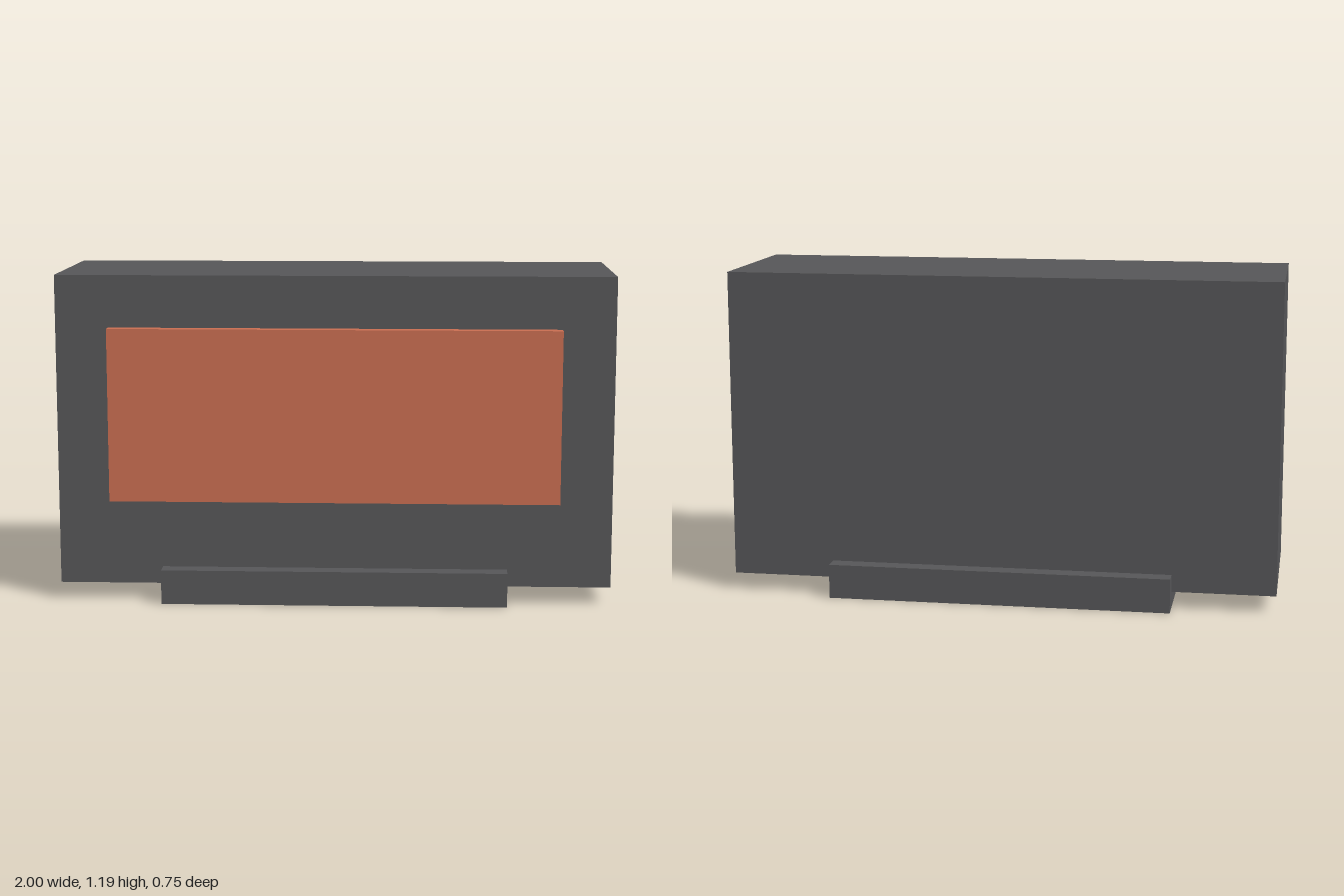
import * as THREE from 'three';

export function createModel() {
  const model = new THREE.Group();
  const casing = new THREE.MeshStandardMaterial({ color: 0x565658 });
  casing.name = 'dark grey casing';
  const orange = new THREE.MeshStandardMaterial({ color: 0xc96d51 });
  orange.name = 'orange display';

  // Box given by its size, the height of its underside and its centre in z
  const addBox = (name, material, [w, h, d], bottom, z = 0) => {
    const mesh = new THREE.Mesh(new THREE.BoxGeometry(w, h, d), material);
    mesh.name = name;
    mesh.position.set(0, bottom + h / 2, z);
    model.add(mesh);
  };

  // Main housing
  addBox('body', casing, [2, 1.125, 0.625], 0.0625);
  // Foot that wraps the lower edge front and back
  addBox('base', casing, [1.25, 0.125, 0.75], 0);
  // Raised front panel, set slightly into the housing
  addBox('screen', orange, [1.62, 0.625, 0.065], 0.375, 0.325);

  return model;
}
